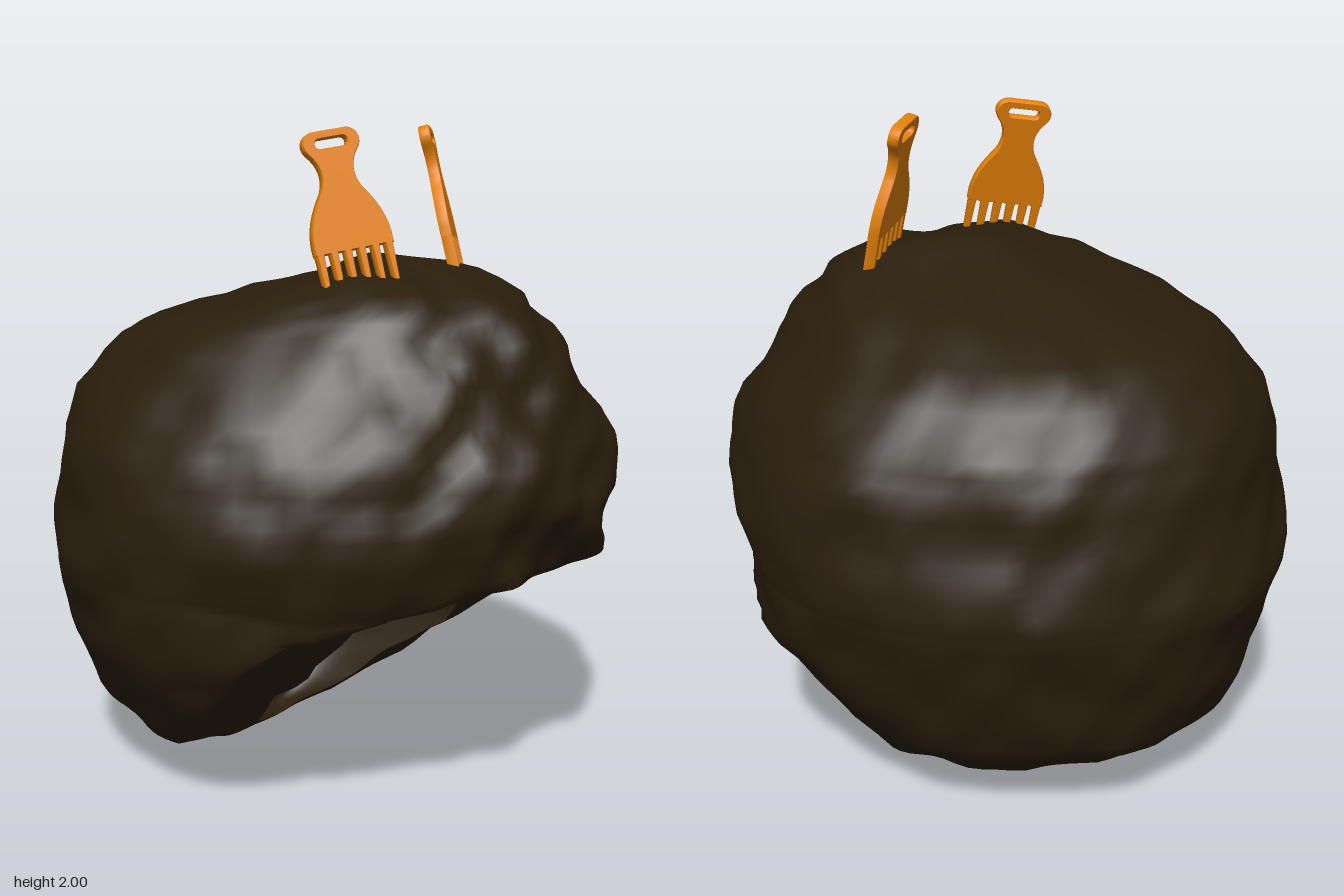
import * as THREE from 'three';
import { toCreasedNormals } from 'three/addons/utils/BufferGeometryUtils.js';

const hairMat = new THREE.MeshStandardMaterial({ color: 0x2a1e0c });
hairMat.name = 'dark brown hair';
const combMat = new THREE.MeshStandardMaterial({ color: 0xe9840a });
combMat.name = 'orange comb';

// Horizontal slices of the hair: height, half width, front z, back z
const BROW = 0.69, LEDGE = 0.695;
const SLICES = [
  [0.005, 0.14, -0.29, -0.39], [0.035, 0.28, -0.255, -0.46], [0.045, 0.32, -0.245, -0.49],
  [0.07, 0.4, -0.22, -0.54], [0.14, 0.59, -0.14, -0.67], [0.24, 0.68, -0.04, -0.8],
  [0.36, 0.77, 0.15, -0.85], [0.5, 0.85, 0.27, -0.88], [0.62, 0.87, 0.4, -0.92],
  [BROW, 0.88, 0.6, -0.94], [LEDGE, 0.88, 0.6, -0.94], [0.7, 0.88, 0.67, -0.94],
  [0.74, 0.89, 0.82, -0.94], [0.85, 0.9, 0.88, -0.91], [0.95, 0.885, 0.92, -0.89],
  [1.08, 0.86, 0.89, -0.88], [1.2, 0.8, 0.83, -0.84], [1.36, 0.65, 0.77, -0.7],
  [1.43, 0.56, 0.71, -0.52], [1.5, 0.45, 0.64, -0.27], [1.56, 0.3, 0.44, 0.0],
  [1.6, 0.14, 0.26, 0.07]
];
// Half width of the face opening by height
const OPENING = [[0.04, 0.01], [0.045, 0.1], [0.07, 0.16], [0.12, 0.22], [0.2, 0.28],
  [0.3, 0.33], [0.4, 0.37], [0.5, 0.345], [0.6, 0.345], [0.7, 0.34]];

function openingWidth(y) {
  if (y <= OPENING[0][0]) return OPENING[0][1];
  for (let i = 1; i < OPENING.length; i++) {
    const [y0, h0] = OPENING[i - 1], [y1, h1] = OPENING[i];
    if (y <= y1) return h0 + (h1 - h0) * (y - y0) / (y1 - y0);
  }
  return 0.34;
}

// Soft irregular lumps, stronger on the fringe
function lump(p) {
  const n = Math.sin(p.x * 11 + 1.3 * Math.sin(p.y * 7)) * Math.sin(p.y * 12 + 2 * Math.sin(p.z * 5))
    + 0.7 * Math.sin(p.z * 14 + p.x * 9 + 1) * Math.sin(p.y * 17 + p.x * 5)
    + 0.6 * Math.sin(p.x * 25 + p.z * 21) * Math.sin(p.y * 23 + 1);
  const fringe = THREE.MathUtils.smoothstep(p.z, 0.3, 0.8);
  return n * (0.009 + 0.011 * fringe);
}

// The lower edge of the fringe hangs down a little at the sides
function droop(p) {
  const { smoothstep } = THREE.MathUtils;
  return 0.035 * smoothstep(Math.abs(p.x), 0.34, 0.6) * smoothstep(p.z, 0.15, 0.5)
    * Math.exp(-Math.pow((p.y - 0.71) / 0.12, 2));
}

// Rings run round the outside, then across the front, which sinks in below the fringe
function hairGeometry() {
  const OUT = 72, IN = 24, COUNT = OUT + IN, ROUND = 1.1;
  const rows = [];
  SLICES.forEach((s, i) => {
    rows.push(s);
    const next = SLICES[i + 1];
    if (next && next[0] - s[0] > 0.035) {
      const steps = next[0] - s[0] > 0.075 ? 3 : 2;
      for (let k = 1; k < steps; k++) rows.push(s.map((v, c) => v + (next[c] - v) * k / steps));
    }
  });

  const bend = v => Math.sign(v) * Math.pow(Math.abs(v), ROUND);
  const pos = [], idx = [], p = new THREE.Vector3(), dir = new THREE.Vector3();
  for (const [y, w, f, b] of rows) {
    const cut = y < 0.8;
    const zc = Math.min(b + w, f);
    const h = Math.min(openingWidth(y), w * 0.6);
    const lip = Math.asin(Math.pow(h / w, 1 / ROUND));
    // Low down, the round outline is cut off along a slanted front
    const outline = a => {
      const c = bend(Math.cos(a));
      let z = zc + c * (c < 0 ? zc - b : cut ? Math.max(w, f - zc) : f - zc);
      if (cut && z > f) z = f + (z - f) * 0.08;
      return [w * bend(Math.sin(a)), z];
    };
    const lipZ = outline(lip)[1];
    const wall = y < 0.04 ? lipZ : Math.min(lipZ - 0.01, -0.34 + 0.05 * Math.max(0, 1 - y / 0.2));
    for (let i = 0; i < COUNT; i++) {
      const t = (i - OUT) / IN;
      let x, z, amount = 1;
      if (i <= OUT) {
        [x, z] = outline(lip + (2 * Math.PI - 2 * lip) * i / OUT);
      } else if (y <= BROW) {
        const a = Math.PI * t, c = Math.cos(a);
        x = -h * Math.sign(c) * Math.pow(Math.abs(c), 0.5);
        z = lipZ + (wall - lipZ) * Math.pow(Math.sin(a), 0.5);
        amount = 0;
      } else if (y === LEDGE) {
        x = h * (2 * t - 1);
        z = lipZ;
        amount = 0;
      } else {
        [x, z] = outline(-lip + 2 * lip * t);
      }
      p.set(x, y, z);
      dir.set(x, (y - 0.8) * 0.8, z).normalize();
      const drop = droop(p) * amount;
      p.addScaledVector(dir, lump(p) * amount);
      pos.push(p.x, Math.max(0, p.y - drop), p.z);
    }
  }
  const n = rows.length;
  const brow = rows.findIndex(r => r[0] === BROW);
  for (let j = 0; j < n - 1; j++) {
    for (let i = 0; i < (j === brow ? OUT : COUNT); i++) {
      const a = j * COUNT + i, b = j * COUNT + (i + 1) % COUNT;
      idx.push(a, b, b + COUNT, a, b + COUNT, a + COUNT);
    }
  }
  // Close the bottom and the crown
  const bottom = n * COUNT, top = bottom + 1, last = (n - 1) * COUNT;
  pos.push(0, 0, -0.34, -0.02, 1.625, 0.16);
  for (let i = 0; i < COUNT; i++) {
    const k = (i + 1) % COUNT;
    idx.push(bottom, k, i, top, last + i, last + k);
  }

  // Domed top of the head hollow, rising behind the fringe
  let loop = [];
  for (let i = 0; i <= IN; i++) loop.push(brow * COUNT + (OUT + i) % COUNT);
  for (let i = IN - 1; i > 0; i--) loop.push((brow + 1) * COUNT + OUT + i);
  const base = loop.map(v => pos.slice(v * 3, v * 3 + 3));
  const LEVELS = 7, MID = 0.08;
  for (let l = 1; l <= LEVELS; l++) {
    const a = Math.PI / 2 * l / LEVELS, s = Math.max(0.02, Math.cos(a));
    const start = pos.length / 3;
    base.forEach(([x, y, z]) => pos.push(x * s, y + 0.27 * Math.sin(a), MID + (z - MID) * s));
    const next = loop.map((v, i) => start + i);
    loop.forEach((v, i) => {
      const k = (i + 1) % loop.length;
      idx.push(v, loop[k], next[k], v, next[k], next[i]);
    });
    loop = next;
  }
  const g = new THREE.BufferGeometry();
  g.setAttribute('position', new THREE.Float32BufferAttribute(pos, 3));
  g.setIndex(idx);
  return toCreasedNormals(g, 1.1);
}

// Comb outline with six teeth, rounded body, narrow neck and slotted handle
function combGeometry() {
  const s = new THREE.Shape();
  const TEETH = 6, PITCH = 0.043, ROOT = 0.135;
  s.moveTo(-0.12, ROOT);
  for (let i = 0; i < TEETH; i++) {
    const x = (i - (TEETH - 1) / 2) * PITCH;
    s.lineTo(x - 0.009, ROOT);
    s.lineTo(x - 0.005, 0);
    s.lineTo(x + 0.005, 0);
    s.lineTo(x + 0.009, ROOT);
  }
  s.lineTo(0.12, ROOT);
  s.bezierCurveTo(0.125, 0.21, 0.095, 0.26, 0.06, 0.31);
  s.bezierCurveTo(0.04, 0.35, 0.045, 0.39, 0.078, 0.425);
  s.bezierCurveTo(0.098, 0.455, 0.075, 0.482, 0.05, 0.482);
  s.lineTo(-0.05, 0.482);
  s.bezierCurveTo(-0.075, 0.482, -0.098, 0.455, -0.078, 0.425);
  s.bezierCurveTo(-0.045, 0.39, -0.04, 0.35, -0.06, 0.31);
  s.bezierCurveTo(-0.095, 0.26, -0.125, 0.21, -0.12, ROOT);

  const slot = new THREE.Path();
  slot.moveTo(-0.036, 0.43);
  slot.lineTo(0.036, 0.43);
  slot.absarc(0.036, 0.447, 0.017, -Math.PI / 2, Math.PI / 2, false);
  slot.lineTo(-0.036, 0.464);
  slot.absarc(-0.036, 0.447, 0.017, Math.PI / 2, Math.PI * 1.5, false);
  s.holes.push(slot);

  const g = new THREE.ExtrudeGeometry(s, {
    depth: 0.024, bevelEnabled: true, bevelThickness: 0.005, bevelSize: 0.003,
    bevelSegments: 1, curveSegments: 8
  });
  g.translate(0, 0, -0.012);
  return toCreasedNormals(g, 0.6);
}

export function createModel() {
  const model = new THREE.Group();
  model.name = 'roundHairWithCombs';

  const hair = new THREE.Mesh(hairGeometry(), hairMat);
  hair.name = 'hair';
  model.add(hair);

  // Two combs stuck in the top, turned outward and leaning back
  const geometry = combGeometry();
  for (const side of [-1, 1]) {
    const comb = new THREE.Mesh(geometry, combMat);
    comb.name = side > 0 ? 'leftComb' : 'rightComb';
    comb.position.set(0.012 + side * 0.242, 1.525, 0.295);
    comb.rotation.set(-0.29, side * 0.54, 0);
    model.add(comb);
  }
  return model;
}
